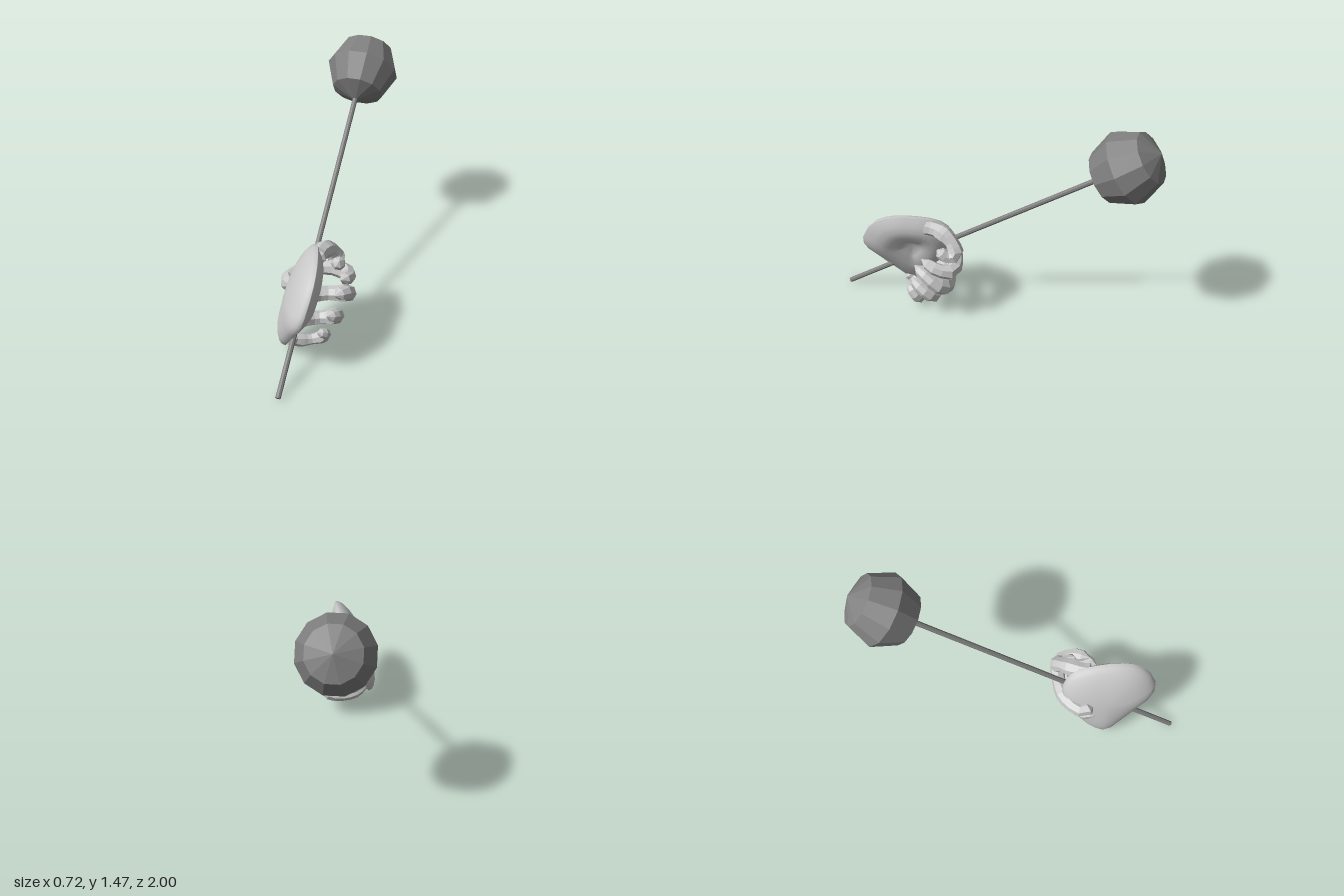
import * as THREE from 'three';
import { mergeVertices } from 'three/addons/utils/BufferGeometryUtils.js';

const V = (a) => new THREE.Vector3(...a);
const skin = new THREE.MeshStandardMaterial({ color: 0xcccccc });
const facetedSkin = new THREE.MeshStandardMaterial({ color: 0xcccccc, flatShading: true });
const dark = new THREE.MeshStandardMaterial({ color: 0x808080, flatShading: true });

function mesh(name, geometry, material) {
  const m = new THREE.Mesh(geometry, material);
  m.name = name;
  return m;
}

// Curled digit: a tube whose rings swell at the joints and close at both ends
function digit(name, radius, points) {
  const n = 14, sides = 7;
  const curve = new THREE.CatmullRomCurve3(points.map(V));
  const geo = new THREE.TubeGeometry(curve, n, 1, sides);
  const pos = geo.attributes.position, v = new THREE.Vector3();
  for (let k = 0; k < pos.count; k++) {
    const i = Math.floor(k / (sides + 1)), t = i / n;
    const c = curve.getPointAt(t);
    const end = i === 0 || i === n ? 0.02 : i === n - 1 ? 0.75 : 1;
    const r = radius * end * (0.95 - 0.12 * t + 0.1 * Math.cos(t * Math.PI * 6));
    v.fromBufferAttribute(pos, k).sub(c).multiplyScalar(r).add(c);
    pos.setXYZ(k, v.x, v.y, v.z);
  }
  geo.computeVertexNormals();
  return mesh(name, geo, facetedSkin);
}

// Cupped palm: a sphere fitted to a side outline, domed outside and hollow inside
function palm() {
  const outline = new THREE.CatmullRomCurve3([
    [0.26, 0.45], [0.28, 0.58], [0.35, 0.66], [0.46, 0.69], [0.6, 0.7], [0.7, 0.68],
    [0.79, 0.62], [0.86, 0.47], [0.84, 0.38], [0.75, 0.27], [0.65, 0.15], [0.55, 0.05],
    [0.46, 0.09], [0.37, 0.2], [0.3, 0.32],
  ].map(([z, y]) => new THREE.Vector3(0, y, z)), true);
  const geo = new THREE.SphereGeometry(1, 24, 14);
  const pos = geo.attributes.position, uv = geo.attributes.uv;
  const centre = new THREE.Vector3(0, 0.42, 0.54);
  for (let k = 0; k < pos.count; k++) {
    const side = pos.getY(k), s = Math.sqrt(Math.max(0, 1 - side * side));
    const p = outline.getPoint((uv.getX(k) + 1) % 1).sub(centre).multiplyScalar(s).add(centre);
    const depth = side > 0 ? 0.07 * Math.sin(Math.PI * s) : 0.11 * side;
    pos.setXYZ(k, -0.335 + 0.32 * p.y + depth, p.y, p.z);
  }
  geo.deleteAttribute('uv');
  geo.deleteAttribute('normal');
  const merged = mergeVertices(geo, 1e-4);
  merged.computeVertexNormals();
  return mesh('palm', merged, skin);
}

export function createModel() {
  const model = new THREE.Group();
  model.name = 'handWithMallet';

  // Mallet: thin rod with a faceted ball whose pole lies on the rod
  const base = V([-0.33, 0.015, 0.99]), ball = V([0.135, 1.257, -0.772]);
  const dir = ball.clone().sub(base);
  const mallet = new THREE.Group();
  mallet.name = 'mallet';
  mallet.position.copy(base);
  mallet.quaternion.setFromUnitVectors(V([0, 1, 0]), dir.clone().normalize());
  const length = dir.length();
  const rod = mesh('rod', new THREE.CylinderGeometry(0.016, 0.016, length - 0.2, 8), dark);
  rod.position.y = (length - 0.2) / 2;
  const head = mesh('malletHead', new THREE.SphereGeometry(0.228, 12, 4), dark);
  head.position.y = length;
  mallet.add(rod, head);

  // Hand: palm, four fingers wrapped round the rod, and a thumb over the top
  const hand = new THREE.Group();
  hand.name = 'hand';
  hand.add(
    palm(),
    digit('indexFinger', 0.056, [[-0.27, 0.42, 0.46], [-0.3, 0.41, 0.37], [-0.18, 0.41, 0.27],
      [-0.02, 0.41, 0.25], [0.05, 0.4, 0.28], [0.065, 0.43, 0.37], [0.02, 0.47, 0.46]]),
    digit('middleFinger', 0.058, [[-0.27, 0.32, 0.5], [-0.28, 0.29, 0.39], [-0.1, 0.25, 0.3],
      [0.02, 0.26, 0.31], [0.068, 0.31, 0.37], [0.05, 0.36, 0.43], [-0.02, 0.39, 0.51]]),
    digit('ringFinger', 0.054, [[-0.28, 0.22, 0.55], [-0.27, 0.17, 0.46], [-0.13, 0.13, 0.39],
      [-0.03, 0.15, 0.4], [0.0, 0.2, 0.45], [-0.06, 0.26, 0.54]]),
    digit('littleFinger', 0.043, [[-0.29, 0.14, 0.6], [-0.27, 0.09, 0.55], [-0.18, 0.057, 0.51],
      [-0.1, 0.07, 0.5], [-0.07, 0.12, 0.53], [-0.12, 0.16, 0.57]]),
    digit('thumb', 0.057, [[-0.13, 0.62, 0.46], [-0.09, 0.61, 0.35], [-0.04, 0.56, 0.27],
      [-0.01, 0.49, 0.25], [0.0, 0.48, 0.3], [0.01, 0.54, 0.36]]),
  );

  model.add(mallet, hand);
  return model;
}
